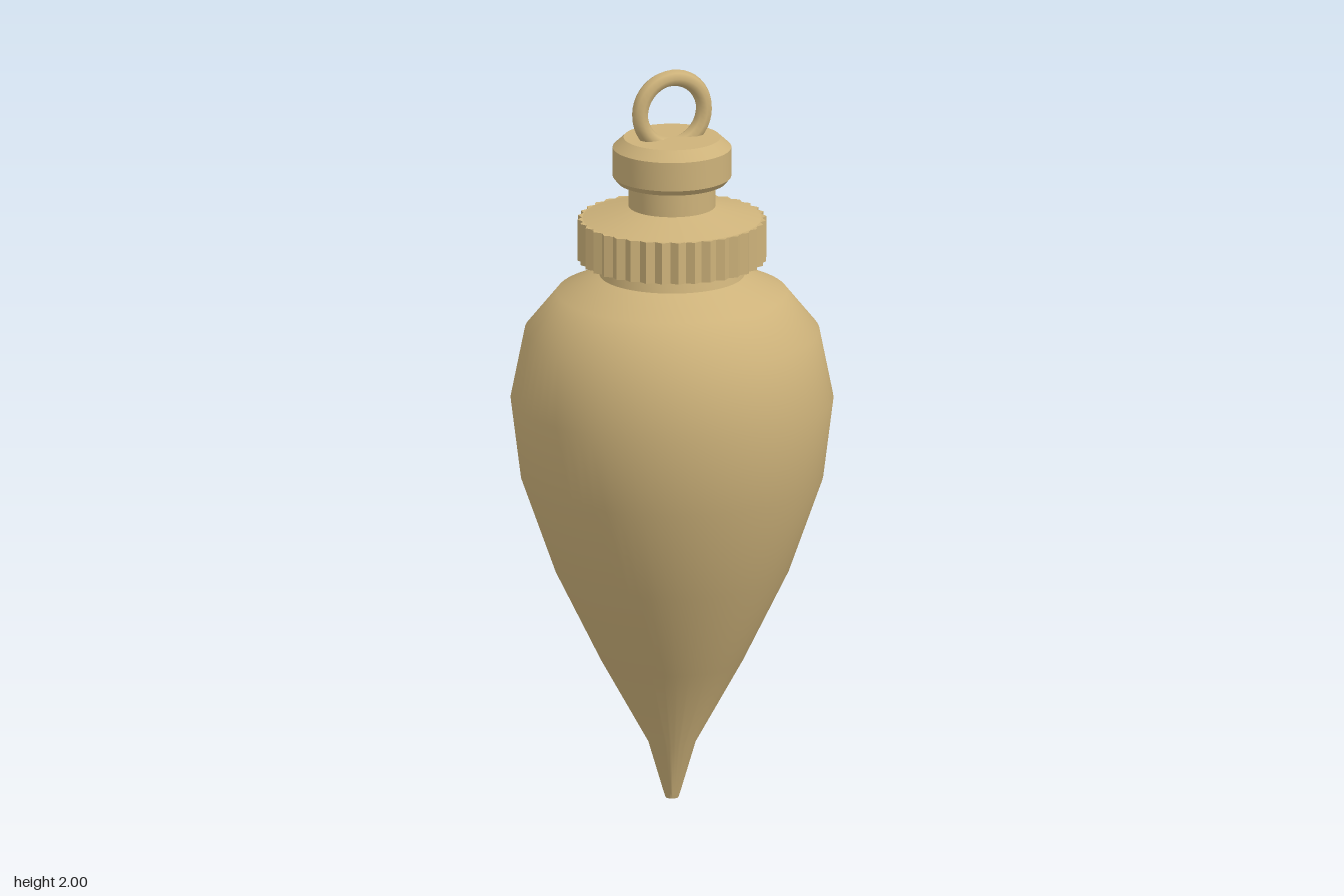
import * as THREE from 'three';
import { toCreasedNormals } from 'three/addons/utils/BufferGeometryUtils.js';

const brass = new THREE.MeshStandardMaterial({ color: 0xcdb27a });
brass.name = 'brass';

function part(name, geometry) {
  const mesh = new THREE.Mesh(geometry, brass);
  mesh.name = name;
  return mesh;
}

// Turned part: [radius, height] pairs from bottom to top
function turned(name, profile, crease = 0.4) {
  const points = profile.map(([r, y]) => new THREE.Vector2(r, y));
  return part(name, toCreasedNormals(new THREE.LatheGeometry(points, 72), crease));
}

// Ring of alternating ridges and grooves, extruded upwards
function knurl(teeth, outer, inner, bottom, height) {
  const points = [];
  for (let i = 0; i < teeth * 2; i++) {
    const a = (i / (teeth * 2)) * Math.PI * 2;
    const r = i % 2 ? inner : outer;
    points.push(new THREE.Vector2(Math.cos(a) * r, Math.sin(a) * r));
  }
  const geometry = new THREE.ExtrudeGeometry(new THREE.Shape(points), { depth: height, bevelEnabled: false });
  geometry.rotateX(-Math.PI / 2).translate(0, bottom, 0);
  return part('knurledCollar', geometry);
}

export function createModel() {
  const model = new THREE.Group();
  model.name = 'plumbBob';

  // Teardrop weight with a blunt tip
  model.add(turned('body', [
    [0, 0], [0.017, 0], [0.022, 0.015], [0.063, 0.155], [0.19, 0.385], [0.31, 0.63],
    [0.4, 0.885], [0.427, 1.1], [0.39, 1.285], [0.305, 1.39], [0.19, 1.44],
  ], 0.8));

  // Collar with sloped faces above and below the knurling
  model.add(turned('collarSeat', [[0.193, 1.435], [0.185, 1.468], [0.24, 1.481]]));
  model.add(knurl(36, 0.25, 0.238, 1.48, 0.113));
  model.add(turned('collarTop', [[0.24, 1.592], [0.115, 1.627]]));

  // Neck and chamfered cap
  model.add(turned('neck', [[0.115, 1.62], [0.115, 1.7]]));
  model.add(turned('cap', [
    [0.11, 1.692], [0.145, 1.695], [0.157, 1.71], [0.157, 1.788], [0.128, 1.815], [0, 1.815],
  ]));

  // Hanging loop
  const loop = part('hangingLoop', new THREE.TorusGeometry(0.0925, 0.0225, 8, 40));
  loop.position.y = 1.885;
  model.add(loop);

  return model;
}
